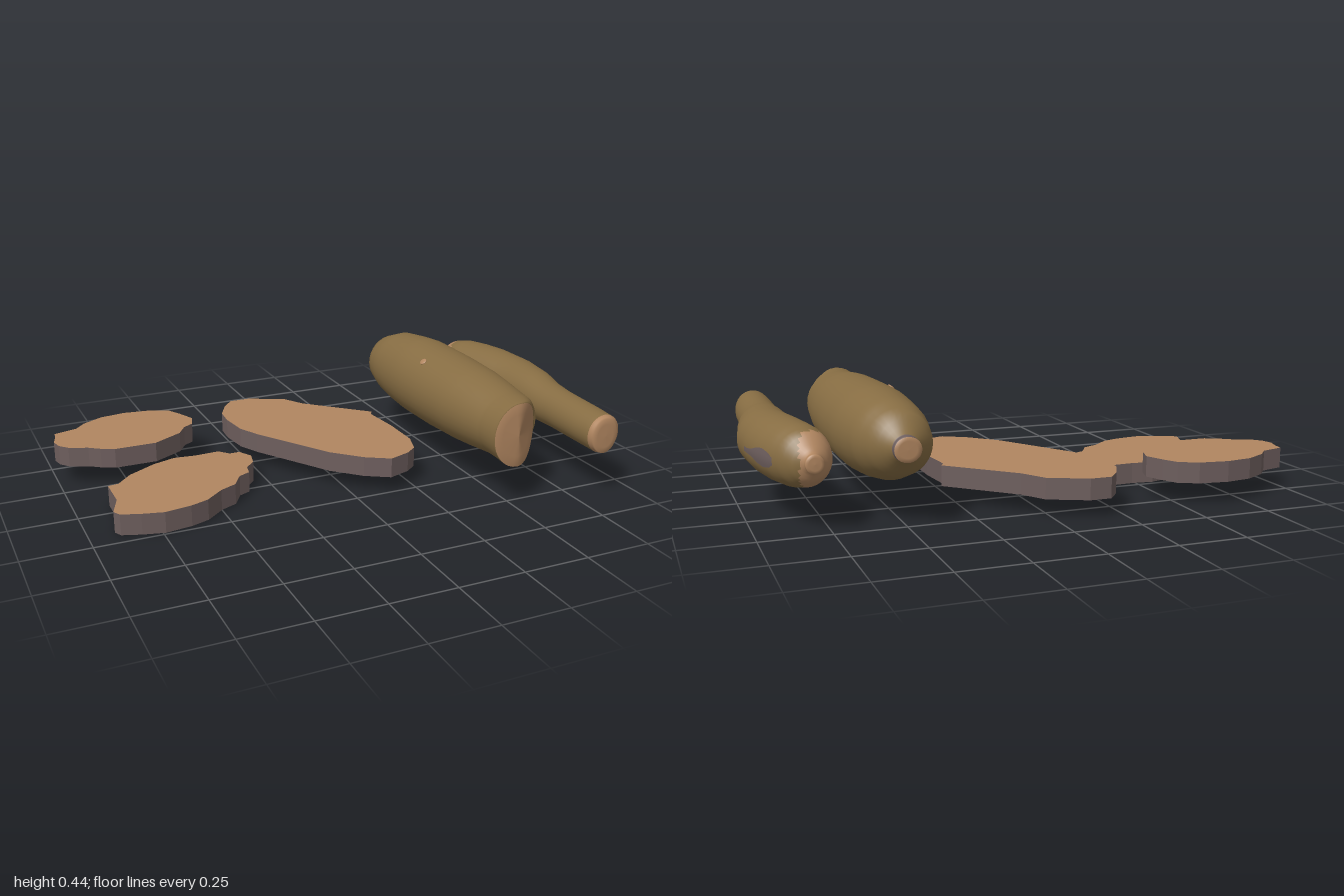
import * as THREE from 'three';

const flesh = new THREE.MeshStandardMaterial({ color: 0xb18660 });
flesh.name = 'cut flesh';
const skin = new THREE.MeshStandardMaterial({ color: 0x876d43 });
skin.name = 'olive skin';
const bark = new THREE.MeshStandardMaterial({ color: 0x6d5e5d });
bark.name = 'grey bark';
const FLESH = 0, SKIN = 1, BARK = 2;
const SEGMENTS = 32, STEPS = 3;

// Flat slice: outline as [x, z] points, flesh faces and bark rim
function slice(name, outline, y, thickness) {
  const shape = new THREE.Shape(outline.map(([x, z]) => new THREE.Vector2(x, -z)));
  const geo = new THREE.ExtrudeGeometry(shape, { depth: thickness, bevelEnabled: false });
  geo.rotateX(-Math.PI / 2).translate(0, y, 0);
  const mesh = new THREE.Mesh(geo, [flesh, bark]);
  mesh.name = name;
  return mesh;
}

// Point on a root; rows are [z, xMin, xMax, yMin, yMax, slant], front to back
function surfacePoint(rows, t, angle) {
  const i = Math.min(Math.floor(t), rows.length - 2), f = t - i;
  const [z, x0, x1, y0, y1, slant] = rows[i].map((v, k) => v + (rows[i + 1][k] - v) * f);
  const c = Math.cos(angle), s = Math.sin(angle);
  return [
    (x0 + x1) / 2 + (x1 - x0) / 2 * c,
    (y0 + y1) / 2 + (y1 - y0) / 2 * s,
    z - slant * Math.max(0, c) ** 1.5,
  ];
}

// Lofted root; paint(t, angle, z) picks the material of each face
function root(name, rows, paint) {
  const rings = (rows.length - 1) * STEPS;
  const positions = [], faces = [[], [], []];
  for (let i = 0; i <= rings; i++) {
    for (let j = 0; j < SEGMENTS; j++) {
      positions.push(...surfacePoint(rows, i / STEPS, j / SEGMENTS * Math.PI * 2));
    }
  }
  for (let i = 0; i < rings; i++) {
    for (let j = 0; j < SEGMENTS; j++) {
      const k = (j + 1) % SEGMENTS;
      const a = i * SEGMENTS + j, b = i * SEGMENTS + k, c = a + SEGMENTS, d = b + SEGMENTS;
      const t = (i + 0.5) / STEPS, angle = (j + 0.5) / SEGMENTS * Math.PI * 2;
      faces[paint(t, angle, surfacePoint(rows, t, angle)[2])].push(a, c, b, b, c, d);
    }
  }
  const geo = new THREE.BufferGeometry();
  geo.setAttribute('position', new THREE.Float32BufferAttribute(positions, 3));
  geo.setIndex(faces.flat());
  let start = 0;
  faces.forEach((list, m) => {
    geo.addGroup(start, list.length, m);
    start += list.length;
  });
  geo.computeVertexNormals();
  const mesh = new THREE.Mesh(geo, [flesh, skin, bark]);
  mesh.name = name;
  return mesh;
}

// Thin spindle of bark on the +x side: sections are [z, yLow, yHigh]
function barkPatch(name, rows, sections) {
  const positions = [], index = [], across = 4;
  sections.forEach(([z, lo, hi]) => {
    const r = Math.max(0, rows.findIndex((row) => row[0] <= z) - 1);
    const t = r + (rows[r][0] - z) / (rows[r][0] - rows[r + 1][0]);
    const bottom = surfacePoint(rows, t, -Math.PI / 2)[1], top = surfacePoint(rows, t, Math.PI / 2)[1];
    for (let k = 0; k <= across; k++) {
      const y = lo + (hi - lo) * k / across;
      const p = surfacePoint(rows, t, Math.asin((y - (bottom + top) / 2) / ((top - bottom) / 2)));
      positions.push(p[0] + 0.004, p[1], p[2]);
    }
  });
  for (let i = 0; i < sections.length - 1; i++) {
    for (let k = 0; k < across; k++) {
      const a = i * (across + 1) + k, c = a + across + 1;
      index.push(a, c, a + 1, a + 1, c, c + 1);
    }
  }
  const geo = new THREE.BufferGeometry();
  geo.setAttribute('position', new THREE.Float32BufferAttribute(positions, 3));
  geo.setIndex(index);
  geo.computeVertexNormals();
  const mesh = new THREE.Mesh(geo, bark);
  mesh.name = name;
  return mesh;
}

export function createModel() {
  const model = new THREE.Group();
  model.name = 'sliced roots';

  // Three slices
  model.add(slice('backSlice', [
    [-1, -.39], [-.985, -.44], [-.98, -.48], [-.89, -.505], [-.85, -.55], [-.77, -.595], [-.67, -.61],
    [-.56, -.595], [-.49, -.56], [-.46, -.505], [-.43, -.435], [-.45, -.37], [-.49, -.345], [-.525, -.29],
    [-.64, -.225], [-.8, -.225], [-.85, -.25], [-.89, -.28], [-.96, -.31], [-.99, -.345],
  ], 0.08, 0.077));
  model.add(slice('frontSlice', [
    [-.905, .165], [-.87, .07], [-.87, -.065], [-.83, -.07], [-.77, -.135], [-.66, -.2], [-.57, -.23],
    [-.485, -.22], [-.39, -.225], [-.355, -.185], [-.315, -.185], [-.285, -.13], [-.3, -.065], [-.34, -.025],
    [-.35, .025], [-.395, .045], [-.435, .11], [-.5, .14], [-.57, .2], [-.64, .225], [-.74, .24],
    [-.82, .22], [-.89, .195],
  ], 0, 0.08));
  model.add(slice('largeSlice', [
    [-.285, -.48], [-.245, -.56], [-.2, -.615], [-.12, -.615], [.02, -.55], [.075, -.46], [.3, -.245],
    [.285, -.22], [.3, -.065], [.3, .1], [.27, .19], [.225, .225], [.14, .255], [.05, .2],
    [-.05, .1], [-.235, -.195], [-.275, -.28], [-.29, -.4],
  ], 0.063, 0.077));

  // Thick root with a slanted cut in front and a stub behind
  const thick = [
    [.555, .5, .5, .28, .28, 0], [.55, .4, .61, .158, .402, .07], [.53, .4, .63, .155, .405, .075],
    [.48, .4, .65, .155, .405, .05], [.43, .4, .655, .155, .405, 0], [.3, .385, .672, .14, .42, 0],
    [.2, .377, .682, .13, .43, 0], [0, .37, .69, .12, .437, 0], [-.2, .37, .687, .118, .44, 0],
    [-.3, .376, .675, .125, .432, 0], [-.4, .385, .657, .14, .42, 0], [-.48, .402, .617, .17, .39, 0],
    [-.54, .465, .56, .232, .325, 0], [-.567, .465, .56, .235, .322, 0], [-.568, .512, .512, .278, .278, 0],
  ];
  model.add(root('thickRoot', thick, (t) => {
    if (t < 1 || t > 13) return FLESH;
    return t > 12 ? BARK : SKIN;
  }));

  // Small scar on the thick root
  const scar = new THREE.Mesh(new THREE.SphereGeometry(0.015, 12, 8), flesh);
  scar.name = 'scar';
  scar.scale.set(1, 0.3, 1.1);
  scar.position.set(0.427, 0.403, -0.04);
  scar.rotation.z = 0.67;
  model.add(scar);

  // Slender root with a narrow neck in front and a peeled tip behind
  const slender = [
    [.612, .845, .845, .245, .245, 0], [.61, .79, .895, .178, .312, 0], [.585, .782, .922, .17, .32, 0],
    [.5, .78, .932, .17, .322, 0], [.3, .786, .94, .168, .326, 0], [.2, .785, .952, .163, .332, 0],
    [.1, .785, .975, .15, .346, 0], [-.05, .78, .996, .138, .353, 0], [-.2, .755, .987, .135, .358, 0],
    [-.3, .738, .968, .135, .357, 0], [-.38, .727, .942, .138, .353, 0], [-.44, .735, .91, .15, .338, 0],
    [-.475, .755, .875, .175, .3, 0], [-.495, .78, .84, .21, .277, 0], [-.522, .778, .84, .212, .276, 0],
    [-.524, .809, .809, .244, .244, 0],
  ];
  model.add(root('slenderRoot', slender, (t, angle, z) =>
    (z > 0.588 || z < -0.44 - 0.05 * Math.cos(angle) ? FLESH : SKIN)));
  model.add(barkPatch('barkPatch', slender, [
    [-.2, .238, .255], [-.23, .235, .253], [-.27, .232, .258], [-.31, .218, .269],
    [-.35, .21, .275], [-.39, .215, .266], [-.41, .228, .252],
  ]));

  return model;
}
